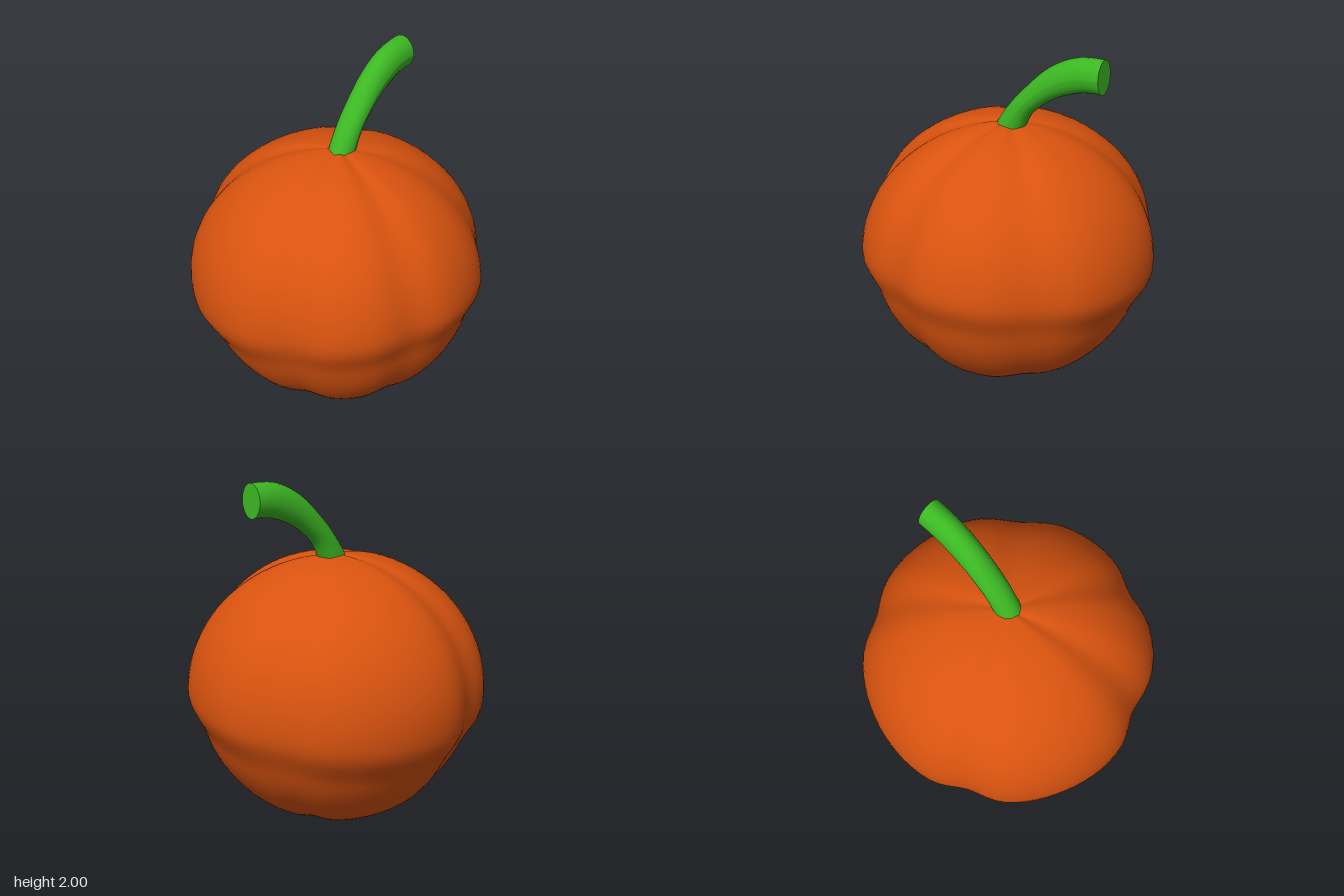
import * as THREE from 'three';

// Groove directions around the vertical axis: [degrees from +x towards +z, depth, half width in degrees]
const GROOVES = [[52, 0.042, 13], [112, 0.042, 10], [161, 0.055, 11], [244, 0.045, 10], [332, 0.042, 11]];

// Groove depth at a given angle
function grooveAt(angle) {
  return GROOVES.reduce((sum, [deg, depth, width]) => {
    let d = THREE.MathUtils.radToDeg(angle) - deg;
    d -= 360 * Math.round(d / 360);
    return sum + depth * Math.exp(-((d / width) ** 2));
  }, 0);
}

// Body: a sphere with uneven grooves whose lobes step in below the middle
function makeBody() {
  const rows = 48, cols = 90, pos = [], index = [];
  for (let i = 0; i <= rows; i++) {
    const phi = (i / rows) * Math.PI;
    for (let j = 0; j < cols; j++) {
      const a = (j / cols) * Math.PI * 2;
      const groove = grooveAt(a);
      const ledge = 0.64 + 0.09 * Math.sin(a);
      const y = 0.77 + 0.768 * Math.cos(phi);
      const swell = THREE.MathUtils.smoothstep(y, ledge - 0.12, ledge + 0.1);
      const r = (0.785 + 0.057 * swell - groove * (0.6 + 0.4 * swell)) * Math.sin(phi);
      const dip = 1 - 0.6 * groove * Math.sqrt(Math.max(0, Math.sin(phi)));
      pos.push(r * Math.cos(a), 0.77 + (y - 0.77) * dip, r * Math.sin(a));
      if (i < rows) {
        const n = (j + 1) % cols, p = i * cols, q = p + cols;
        if (i > 0) index.push(p + j, p + n, q + j);
        if (i < rows - 1) index.push(p + n, q + n, q + j);
      }
    }
  }
  const geo = new THREE.BufferGeometry();
  geo.setAttribute('position', new THREE.Float32BufferAttribute(pos, 3));
  geo.setIndex(index);
  geo.computeVertexNormals();
  return geo;
}

// Stem: a bent tube with an oval section that widens towards the cut end
const STEM_Z = 0.012;
const STEM_PATH = new THREE.CatmullRomCurve3(
  [[-0.01, 1.46], [0.03, 1.54], [0.085, 1.635], [0.145, 1.705], [0.27, 1.815], [0.415, 1.888], [0.5, 1.903], [0.563, 1.905]]
    .map(([x, y]) => new THREE.Vector3(x, y, STEM_Z)));

function makeStem() {
  const rings = 32, sides = 24;
  const geo = new THREE.TubeGeometry(STEM_PATH, rings, 1, sides);
  const p = geo.attributes.position;
  for (let i = 0; i <= rings; i++) {
    const t = i / rings, c = STEM_PATH.getPointAt(t);
    const tall = 0.076 - 0.012 * THREE.MathUtils.smoothstep(t, 0.05, 0.3) + 0.031 * THREE.MathUtils.smoothstep(t, 0.3, 0.85);
    const wide = 0.071 + 0.006 * t;
    for (let j = 0; j <= sides; j++) {
      const k = i * (sides + 1) + j;
      p.setXYZ(k, c.x + (p.getX(k) - c.x) * tall, c.y + (p.getY(k) - c.y) * tall, c.z + (p.getZ(k) - c.z) * wide);
    }
  }
  geo.computeVertexNormals();
  return geo;
}

// Flat oval that closes the cut end
function makeStemEnd() {
  const dir = STEM_PATH.getTangentAt(1), end = STEM_PATH.getPointAt(1);
  return new THREE.CircleGeometry(1, 24).scale(0.077, 0.095, 1).rotateY(Math.PI / 2)
    .rotateZ(Math.atan2(dir.y, dir.x)).translate(end.x, end.y, end.z);
}

export function createModel() {
  const group = new THREE.Group();
  group.name = 'pumpkin';
  const orange = new THREE.MeshStandardMaterial({ color: 0xd9530f });
  const green = new THREE.MeshStandardMaterial({ color: 0x3cb823 });
  const add = (name, geo, mat) => {
    const mesh = new THREE.Mesh(geo, mat);
    mesh.name = name;
    group.add(mesh);
  };
  add('body', makeBody(), orange);
  add('stem', makeStem(), green);
  add('stemEnd', makeStemEnd(), green);
  return group;
}
